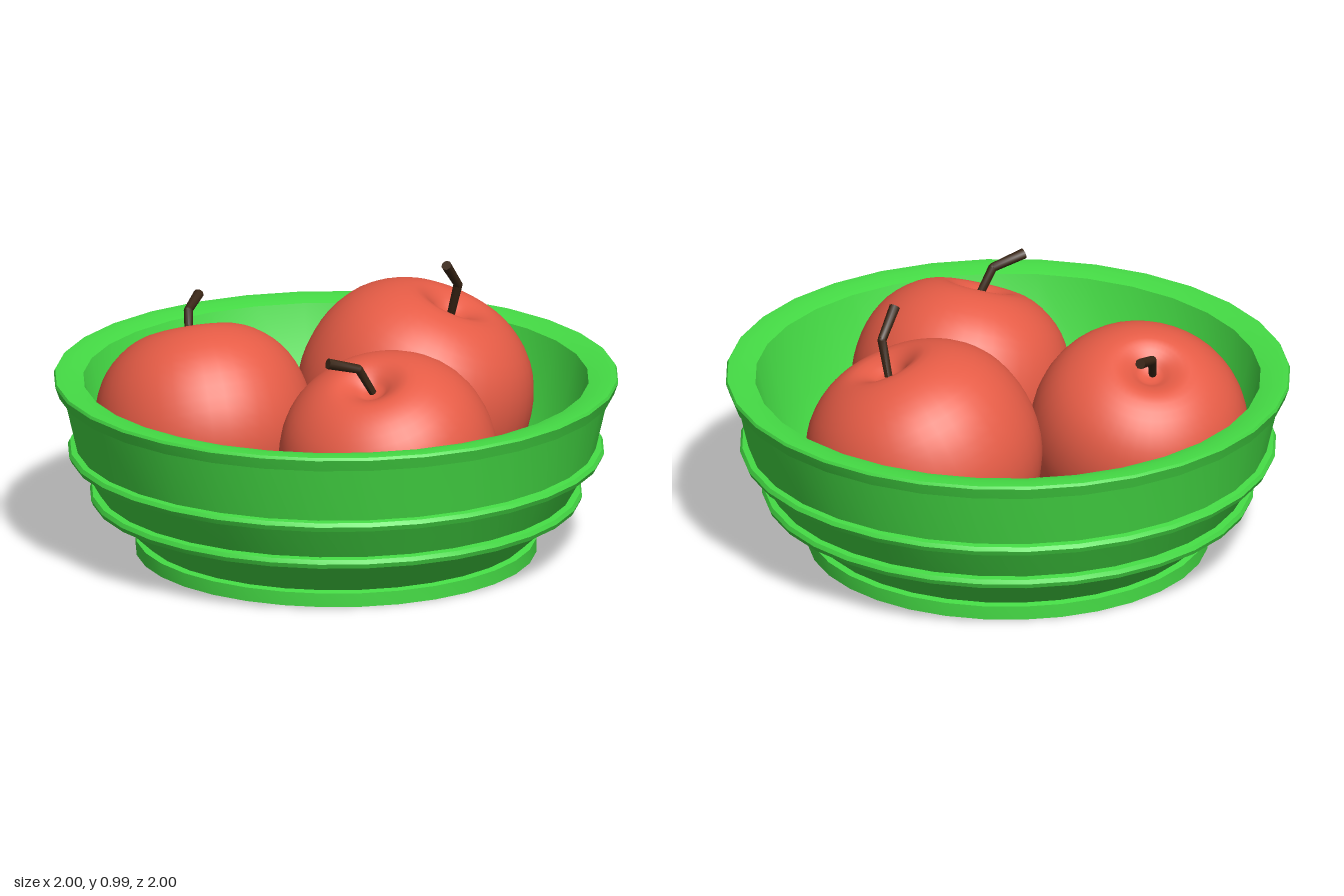
import * as THREE from 'three';
import { toCreasedNormals } from 'three/addons/utils/BufferGeometryUtils.js';

const vec2s = (list) => list.map(([x, y]) => new THREE.Vector2(x, y));
const UP = new THREE.Vector3(0, 1, 0);

// Straight piece of stem between two points
function stemPiece(a, b, r0, r1, material) {
  const dir = b.clone().sub(a);
  const mesh = new THREE.Mesh(
    toCreasedNormals(new THREE.CylinderGeometry(r1, r0, dir.length(), 8), 0.9), material);
  mesh.position.copy(a).lerp(b, 0.5);
  mesh.quaternion.setFromUnitVectors(UP, dir.normalize());
  mesh.name = 'stemPiece';
  return mesh;
}

export function createModel() {
  const model = new THREE.Group();
  model.name = 'fruitBowl';
  const green = new THREE.MeshStandardMaterial({ color: 0x45dc45 });
  const red = new THREE.MeshStandardMaterial({ color: 0xe65c46 });
  const brown = new THREE.MeshStandardMaterial({ color: 0x3a2616 });

  // Bowl: foot, three flared bands parted by rings, rim, inner wall and floor
  const bowlProfile = vec2s([
    [0, 0], [0.71, 0], [0.71, 0.05], [0.685, 0.055],
    [0.83, 0.19], [0.865, 0.19], [0.872, 0.207], [0.865, 0.222], [0.84, 0.225],
    [0.912, 0.35], [0.942, 0.35], [0.95, 0.368], [0.942, 0.382], [0.92, 0.385],
    [0.967, 0.588], [0.985, 0.588], [1, 0.63], [0.995, 0.64], [0.95, 0.642],
    [0.895, 0.628], [0.83, 0.37], [0.74, 0.2], [0.61, 0.08], [0, 0.08],
  ]);
  const bowl = new THREE.Mesh(toCreasedNormals(new THREE.LatheGeometry(bowlProfile, 32), 0.45), green);
  bowl.name = 'bowl';
  model.add(bowl);

  // Apple of unit radius, rounded, with a small dimple at both ends
  const appleCurve = new THREE.SplineCurve(vec2s([
    [0, -0.82], [0.14, -0.87], [0.32, -0.91], [0.57, -0.81], [0.8, -0.59], [0.95, -0.31],
    [1, 0], [0.95, 0.33], [0.81, 0.6], [0.59, 0.79], [0.36, 0.87], [0.2, 0.82], [0.1, 0.75], [0, 0.73],
  ]));
  const appleProfile = appleCurve.getPoints(39);
  appleProfile[0].x = appleProfile[39].x = 0;
  const appleGeometry = new THREE.LatheGeometry(appleProfile, 40);

  // Each apple: centre, radius, lean of its axis, stem from base to elbow to tip
  const apples = [
    { name: 'backApple', at: [-0.07, 0.47, -0.43], r: 0.418, axis: [0.1, 0.34, -0.1],
      stem: [[0.02, 0.76, -0.52], [0.065, 0.885, -0.515], [0.1, 0.98, -0.43]] },
    { name: 'leftApple', at: [0.405, 0.445, 0.105], r: 0.388, axis: [0.035, 0.29, 0.11],
      stem: [[0.44, 0.72, 0.21], [0.438, 0.82, 0.275], [0.405, 0.855, 0.39]] },
    { name: 'rightApple', at: [-0.335, 0.445, 0.325], r: 0.388, axis: [-0.125, 0.28, -0.045],
      stem: [[-0.465, 0.72, 0.285], [-0.52, 0.805, 0.24], [-0.573, 0.835, 0.145]] },
  ];
  for (const { name, at, r, axis, stem } of apples) {
    const apple = new THREE.Group();
    apple.name = name;
    const flesh = new THREE.Mesh(appleGeometry, red);
    flesh.name = 'fruit';
    flesh.position.set(...at);
    flesh.scale.setScalar(r);
    flesh.quaternion.setFromUnitVectors(UP, new THREE.Vector3(...axis).normalize());
    const [base, elbow, tip] = stem.map((p) => new THREE.Vector3(...p));
    apple.add(flesh,
      stemPiece(base, elbow, 0.014, 0.016, brown),
      stemPiece(elbow, tip, 0.016, 0.019, brown));
    // Rounded joint closing the bend
    const joint = new THREE.Mesh(new THREE.SphereGeometry(0.016, 8, 6), brown);
    joint.name = 'stemBend';
    joint.position.copy(elbow);
    apple.add(joint);
    model.add(apple);
  }
  return model;
}
